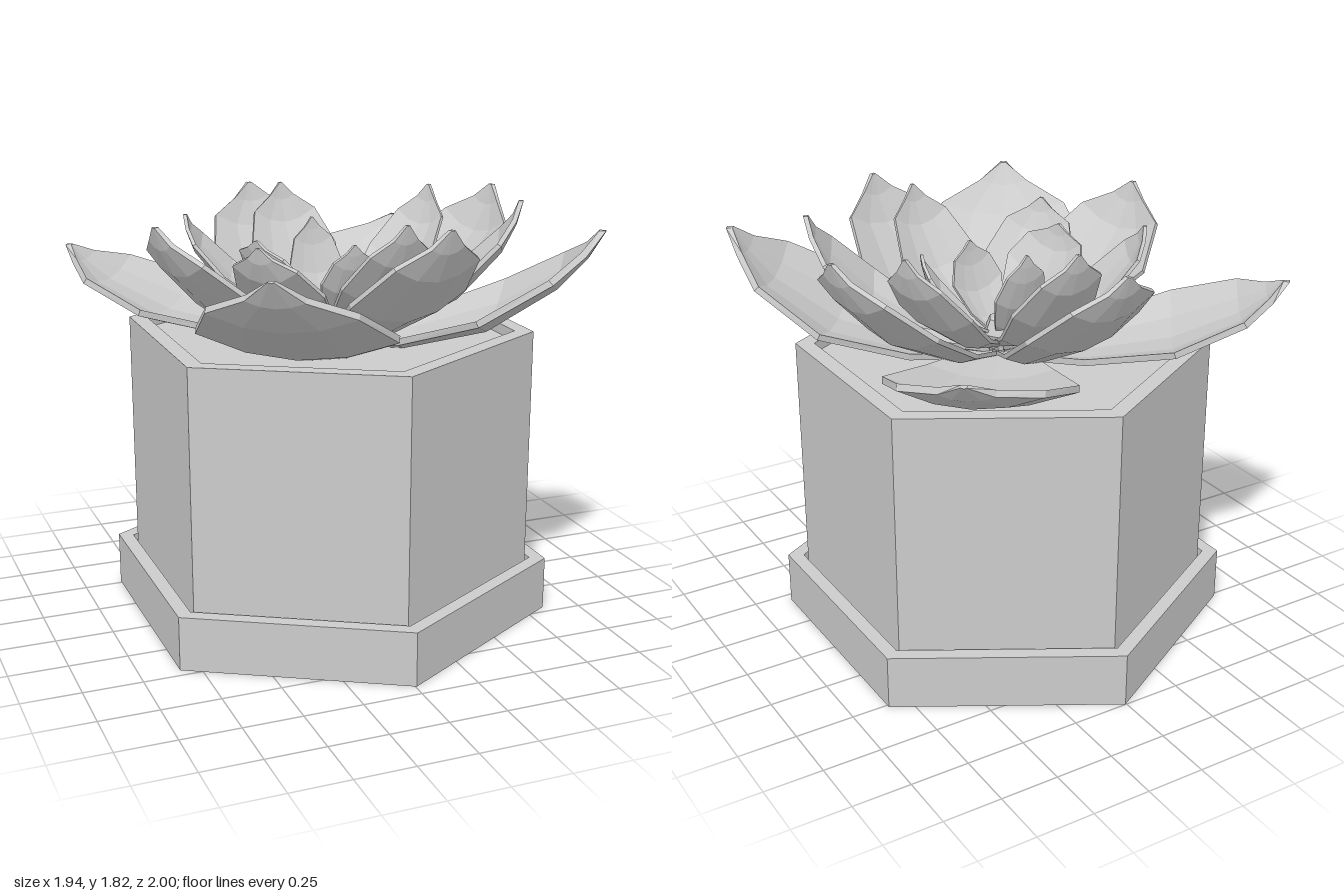
import * as THREE from 'three';

const material = new THREE.MeshStandardMaterial({ color: 0xcccccc, flatShading: true, side: THREE.DoubleSide });

function addMesh(parent, name, geometry) {
  const mesh = new THREE.Mesh(geometry, material);
  mesh.name = name;
  parent.add(mesh);
  return mesh;
}

// Six-sided open vessel from [radius, height] pairs
function hexVessel(profile) {
  return new THREE.LatheGeometry(profile.map(([r, y]) => new THREE.Vector2(r, y)), 6);
}

// Half width of a leaf along its length, as [position, fraction]
const OUTLINE = [[0.05, 0.28], [0.3, 0.68], [0.6, 1], [0.84, 0.72], [0.94, 0.28], [1, 0.03]];
const ACROSS = [-1, -0.5, 0, 0.5, 1];

// Cupped, thick leaf swept from the rosette centre, steepening to its pointed tip
function leafGeometry([tipX, tipY, tipZ, halfWidth], { baseY, bend, arc, cup, thickness }) {
  const length = Math.hypot(tipX, tipZ), height = tipY - baseY;
  const dx = tipX / length, dz = tipZ / length;
  const positions = [], index = [];
  const n = ACROSS.length * 2;
  OUTLINE.forEach(([t, w]) => {
    const run = length * (1 - Math.pow(1 - t, arc));
    const rise = height * (0.9 * Math.pow(t, bend) + 0.1 * Math.pow(t, 10));
    const slope = Math.atan2(height * bend * Math.pow(t, bend - 1), length * arc * Math.pow(1 - t, arc - 1));
    const point = (v, depth) => {
      const side = v * w * halfWidth;
      const u = run + depth * Math.sin(slope);
      const y = baseY + rise + cup * halfWidth * w * v * v - depth * Math.cos(slope);
      positions.push(dx * u - dz * side, y, dz * u + dx * side);
    };
    ACROSS.forEach((v) => point(v, 0));
    [...ACROSS].reverse().forEach((v) => point(v, thickness));
  });
  for (let i = 0; i < OUTLINE.length - 1; i++) {
    for (let j = 0; j < n; j++) {
      const a = i * n + j, b = i * n + (j + 1) % n;
      index.push(a, b, a + n, b, b + n, a + n);
    }
  }
  // Close the tip and the base
  const last = (OUTLINE.length - 1) * n;
  for (let j = 1; j < n - 1; j++) index.push(last, last + j, last + j + 1, 0, j + 1, j);
  const geometry = new THREE.BufferGeometry();
  geometry.setAttribute('position', new THREE.Float32BufferAttribute(positions, 3));
  geometry.setIndex(index);
  geometry.computeVertexNormals();
  return geometry;
}

// Leaf layers, each leaf as [tip x, tip y, tip z, half width]
const LAYERS = [
  { name: 'outerLeaf', baseY: 1.22, bend: 2.7, arc: 1.05, cup: 0.22, thickness: 0.028, leaves: [
    [-0.95, 1.56, -0.68, 0.36], [0.69, 1.55, -0.9, 0.38], [-0.6, 1.71, 0.97, 0.4], [0.91, 1.73, 0.66, 0.4]] },
  { name: 'middleLeaf', baseY: 1.23, bend: 2, arc: 1.25, cup: 0.33, thickness: 0.02, leaves: [
    [0.17, 1.81, 0.81, 0.28], [-0.8, 1.78, 0.2, 0.3], [-0.09, 1.77, -0.77, 0.29],
    [0.83, 1.8, -0.15, 0.3], [0.69, 1.82, 0.38, 0.25]] },
  { name: 'upperLeaf', baseY: 1.26, bend: 1.7, arc: 1.35, cup: 0.4, thickness: 0.016, leaves: [
    [-0.55, 1.74, -0.24, 0.18], [-0.45, 1.71, 0.4, 0.2], [-0.02, 1.8, -0.54, 0.2],
    [0.57, 1.8, -0.25, 0.18], [0.08, 1.8, 0.61, 0.19]] },
  { name: 'innerLeaf', baseY: 1.29, bend: 1.5, arc: 1.5, cup: 0.4, thickness: 0.013, leaves: [
    [-0.36, 1.68, 0.12, 0.2], [0.3, 1.66, 0.12, 0.14], [0, 1.7, -0.2, 0.12], [0.03, 1.65, 0.2, 0.13]] },
];

export function createModel() {
  const model = new THREE.Group();
  model.name = 'pottedSucculent';

  // Hexagonal pot, tray and soil
  const planter = new THREE.Group();
  planter.name = 'planter';
  planter.position.set(0.005, 0, -0.03);
  model.add(planter);
  addMesh(planter, 'tray', hexVessel([[0, 0], [0.969, 0], [0.969, 0.235], [0.9, 0.235], [0.9, 0.07], [0, 0.07]]));
  addMesh(planter, 'pot', hexVessel([[0, 0.07], [0.88, 0.07], [0.88, 1.265], [0.8, 1.265], [0.8, 1.15], [0, 1.15]]));
  addMesh(planter, 'soil', hexVessel([[0.8, 1.22], [0, 1.22]]));

  // Rosette of leaves
  const rosette = new THREE.Group();
  rosette.name = 'rosette';
  model.add(rosette);
  LAYERS.forEach((layer) => {
    layer.leaves.forEach((leaf, i) => addMesh(rosette, `${layer.name}${i + 1}`, leafGeometry(leaf, layer)));
  });

  // Small core where the leaves meet
  const core = addMesh(rosette, 'core', new THREE.SphereGeometry(0.09, 6, 4));
  core.position.set(0, 1.31, -0.02);
  return model;
}
